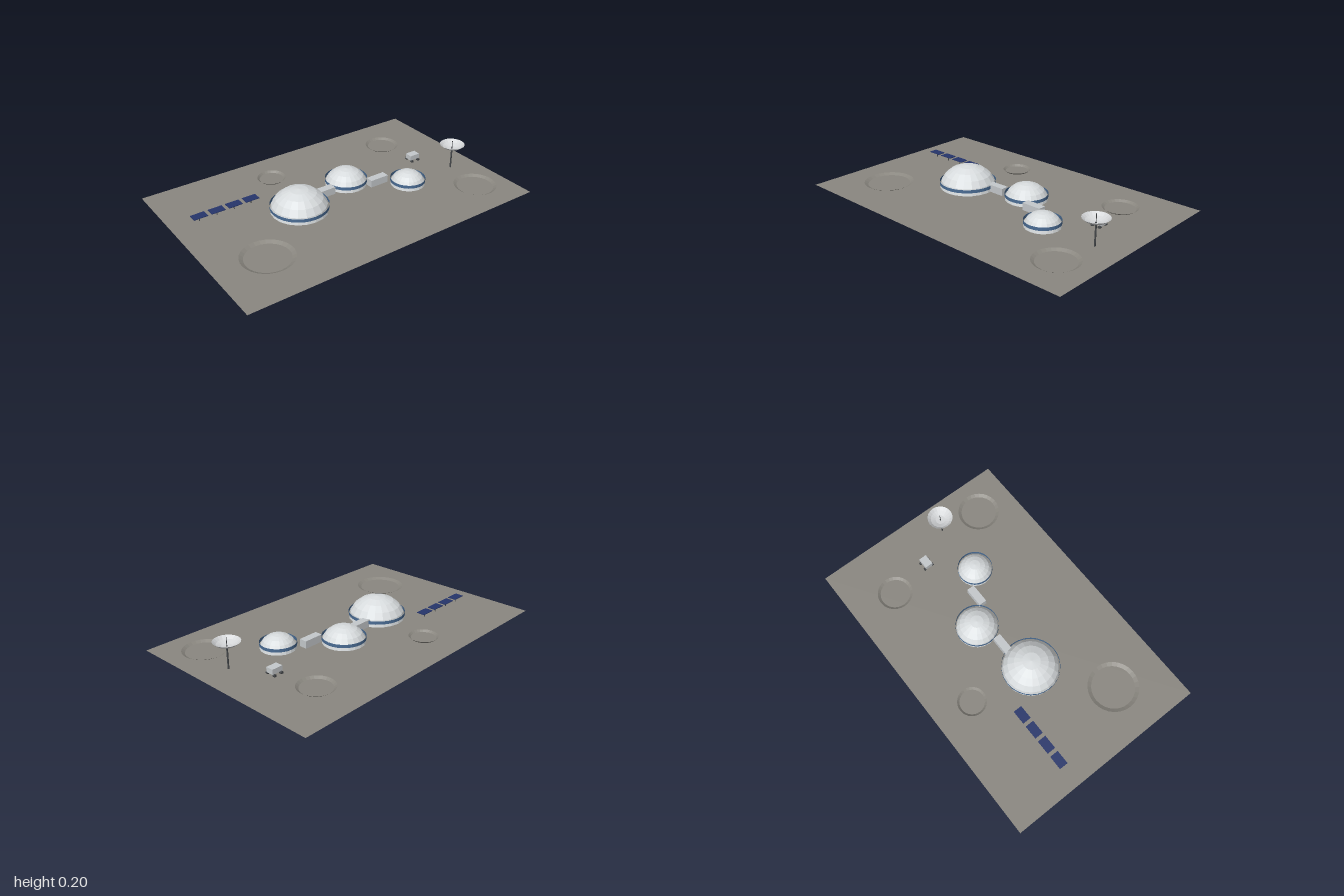
import * as THREE from 'three';

const mat = (name, color, side = THREE.FrontSide) => {
  const m = new THREE.MeshStandardMaterial({ color, side, flatShading: true });
  m.name = name;
  return m;
};

export function createModel() {
  const soil = mat('soil grey', 0x8a8780, THREE.DoubleSide);
  const white = mat('dome white', 0xd8dcde);
  const dishWhite = mat('dish white', 0xd4d6d8, THREE.DoubleSide);
  const pale = mat('hull grey', 0xc4c8cb);
  const blue = mat('window blue', 0x4a6c94, THREE.DoubleSide);
  const navy = mat('panel navy', 0x26356a);
  const dark = mat('dark metal', 0x44474a);

  const base = new THREE.Group();
  base.name = 'moonBase';
  const add = (parent, name, geo, material, x = 0, y = 0, z = 0) => {
    const mesh = new THREE.Mesh(geo, material);
    mesh.name = name;
    mesh.position.set(x, y, z);
    parent.add(mesh);
    return mesh;
  };
  const group = (name, x, z) => {
    const g = new THREE.Group();
    g.name = name;
    g.position.set(x, 0, z);
    base.add(g);
    return g;
  };

  // Ground sheet
  add(base, 'ground', new THREE.PlaneGeometry(2, 1.32).rotateX(-Math.PI / 2), soil, 0, 0.003, 0);

  // Crater rims: shallow open funnels
  for (const [x, z, r] of [[-0.682, 0.315, 0.157], [0.773, 0.406, 0.134], [0.636, -0.366, 0.111], [-0.227, -0.412, 0.09]]) {
    add(base, 'craterRim', new THREE.CylinderGeometry(r, r * 0.85, 0.012, 28, 1, true), soil, x, 0.009, z);
  }

  // Habitat domes with a window band
  for (const [x, z, r] of [[-0.277, 0, 0.178], [0.134, -0.096, 0.133], [0.452, 0.131, 0.11]]) {
    const g = group('habitat', x, z);
    const shell = new THREE.SphereGeometry(r, 20, 5, 0, Math.PI * 2, 0, Math.PI / 2);
    add(g, 'dome', shell.scale(1, 0.8, 1), white, 0, 0.002, 0);
    add(g, 'windowBand', new THREE.CylinderGeometry(r * 1.01, r * 1.01, 0.021, 28, 1, true), blue, 0, 0.034, 0);
  }

  // Connecting corridors
  for (const [x, z] of [[-0.066, -0.048], [0.292, 0.022]]) {
    add(base, 'corridor', new THREE.BoxGeometry(0.13, 0.05, 0.05), pale, x, 0.025, z);
  }

  // Row of solar panels on posts
  for (let i = 0; i < 4; i++) {
    const g = group('solarPanel', -0.82 + i * 0.1133, -0.23);
    add(g, 'panel', new THREE.BoxGeometry(0.09, 0.004, 0.056), navy, 0, 0.036, 0);
    add(g, 'post', new THREE.CylinderGeometry(0.003, 0.003, 0.034, 6), dark, 0, 0.017, 0);
  }

  // Antenna: mast, upturned dish and feed
  const antenna = group('antenna', 0.816, 0.136);
  add(antenna, 'mast', new THREE.CylinderGeometry(0.005, 0.005, 0.145, 8), dark, 0, 0.0725, 0);
  const bowl = [[0, 0.141], [0.03, 0.144], [0.06, 0.156], [0.08, 0.173]].map(([r, y]) => new THREE.Vector2(r, y));
  add(antenna, 'dish', new THREE.LatheGeometry(bowl, 20), dishWhite);
  add(antenna, 'feed', new THREE.CylinderGeometry(0.002, 0.002, 0.055, 6), dark, 0, 0.1685, 0);

  // Rover with four wheels
  const rover = group('rover', 0.68, -0.09);
  add(rover, 'roverBody', new THREE.BoxGeometry(0.072, 0.032, 0.05), pale, 0, 0.032, 0);
  for (const sx of [-1, 1]) {
    for (const sz of [-1, 1]) {
      add(rover, 'wheel', new THREE.CylinderGeometry(0.009, 0.009, 0.016, 10).rotateX(Math.PI / 2), dark, sx * 0.025, 0.009, sz * 0.027);
    }
  }
  return base;
}
